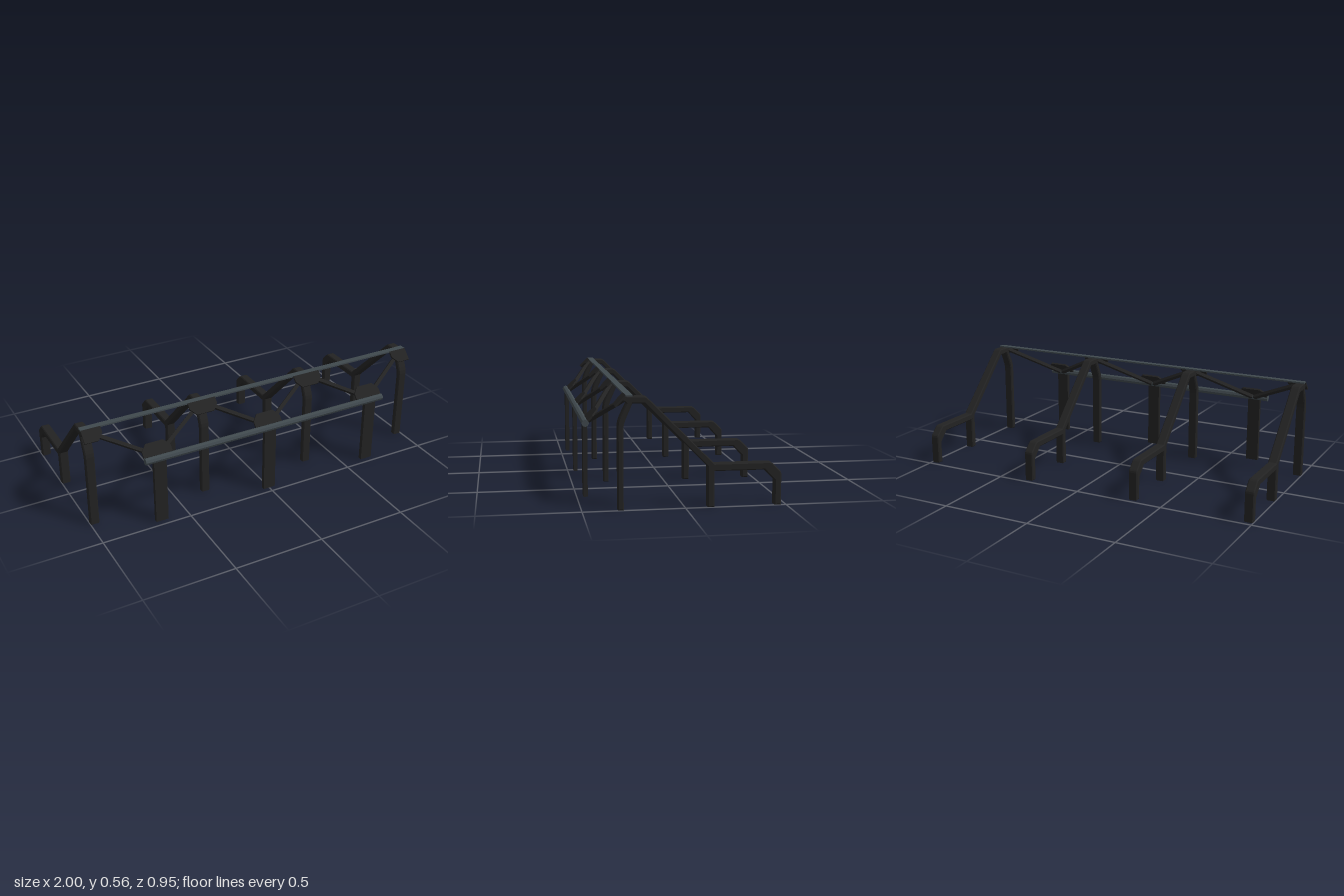
import * as THREE from 'three';

const dark = new THREE.MeshStandardMaterial({ color: 0x222222 });
const steel = new THREE.MeshStandardMaterial({ color: 0x3f484d });

function add(parent, name, geometry, material, x = 0, y = 0, z = 0) {
  const mesh = new THREE.Mesh(geometry, material);
  mesh.name = name;
  mesh.position.set(x, y, z);
  parent.add(mesh);
  return mesh;
}

const toShape = (points) => new THREE.Shape(points.map(([a, b]) => new THREE.Vector2(a, b)));

// Side profile of one bent-tube frame as [z, y]
const framePoints = [
  [0.328, 0], [0.328, 0.41], [0.325, 0.43], [0.318, 0.45], [0.287, 0.515],
  [0.302, 0.53], [0.284, 0.548], [0.2, 0.548], [0.191, 0.545], [0.183, 0.539],
  [-0.142, 0.214], [-0.415, 0.214], [-0.425, 0.211], [-0.432, 0.206],
  [-0.468, 0.17], [-0.473, 0.163], [-0.475, 0.153], [-0.475, 0],
  [-0.442, 0], [-0.442, 0.122], [-0.448, 0.114 + 0.008], [-0.39, 0.177],
  [-0.142, 0.177], [-0.142, 0], [-0.109, 0], [-0.109, 0.2], [0.198, 0.514],
  [0.257, 0.514], [0.287, 0.445], [0.296, 0.42], [0.3, 0.4], [0.3, 0],
].filter(([z, y]) => !(z === -0.448 && y < 0.13)); // keep the rear leg corner simple

function frameGeometry() {
  const bevel = 0.005, width = 0.05;
  const geo = new THREE.ExtrudeGeometry(toShape(framePoints), {
    depth: width - 2 * bevel, bevelEnabled: true, bevelSize: bevel,
    bevelThickness: bevel, bevelOffset: -bevel, bevelSegments: 1,
  });
  geo.translate(0, 0, bevel - width / 2);
  geo.rotateY(-Math.PI / 2);
  return geo;
}

// Gusset plate with two clipped corners; dir = 1 tapers upward, -1 downward
function gussetGeometry(centre, base, dir) {
  const outline = [[-0.08, 0], [0.08, 0], [0.08, 0.035], [0.05, 0.072], [-0.05, 0.072], [-0.08, 0.035]];
  const points = outline.map(([x, s]) => [
    THREE.MathUtils.clamp(centre + x, -1, 1), base + s * dir,
  ]);
  return new THREE.ExtrudeGeometry(toShape(points), { depth: 0.01, bevelEnabled: false });
}

export function createModel() {
  const model = new THREE.Group();
  model.name = 'supportFrame';
  const upperX = [-0.975, -0.325, 0.325, 0.975];
  const lowerX = [-0.65, 0, 0.65];

  // Four bent side frames
  const frame = frameGeometry();
  upperX.forEach((x) => add(model, 'bentFrame', frame, dark, x));

  // Front posts
  lowerX.forEach((x) => add(model, 'frontPost', new THREE.BoxGeometry(0.07, 0.38, 0.022), dark, x, 0.19, 0.455));

  // Lower octagonal rail and flat upper rail
  const rail = new THREE.CylinderGeometry(0.0185, 0.0185, 1.46, 8).toNonIndexed();
  rail.rotateZ(Math.PI / 2);
  rail.computeVertexNormals();
  add(model, 'lowerRail', rail, steel, 0, 0.383, 0.457);
  add(model, 'upperRail', new THREE.BoxGeometry(2, 0.008, 0.034), steel, 0, 0.552, 0.273);

  // Lattice lying in a 45 degree plane
  const lattice = new THREE.Group();
  lattice.name = 'lattice';
  lattice.position.set(0, 0.41, 0.41);
  lattice.rotation.x = -Math.PI / 4;
  model.add(lattice);
  upperX.forEach((x) => add(lattice, 'upperGusset', gussetGeometry(x, 0.187, -1), dark, 0, 0, 0.009));
  lowerX.forEach((x) => add(lattice, 'lowerGusset', gussetGeometry(x, -0.035, 1), dark, 0, 0, 0.009));

  // Zigzag braces between upper and lower nodes
  const top = 0.178, bottom = -0.03, run = 0.31;
  const length = Math.hypot(run, top - bottom);
  const angle = Math.atan2(top - bottom, run);
  const brace = new THREE.BoxGeometry(length, 0.02, 0.02);
  lowerX.forEach((x) => [-1, 1].forEach((side) => {
    const bar = add(lattice, 'brace', brace, dark, x + side * 0.1625, (top + bottom) / 2, 0);
    bar.rotation.z = side * angle;
  }));

  return model;
}
